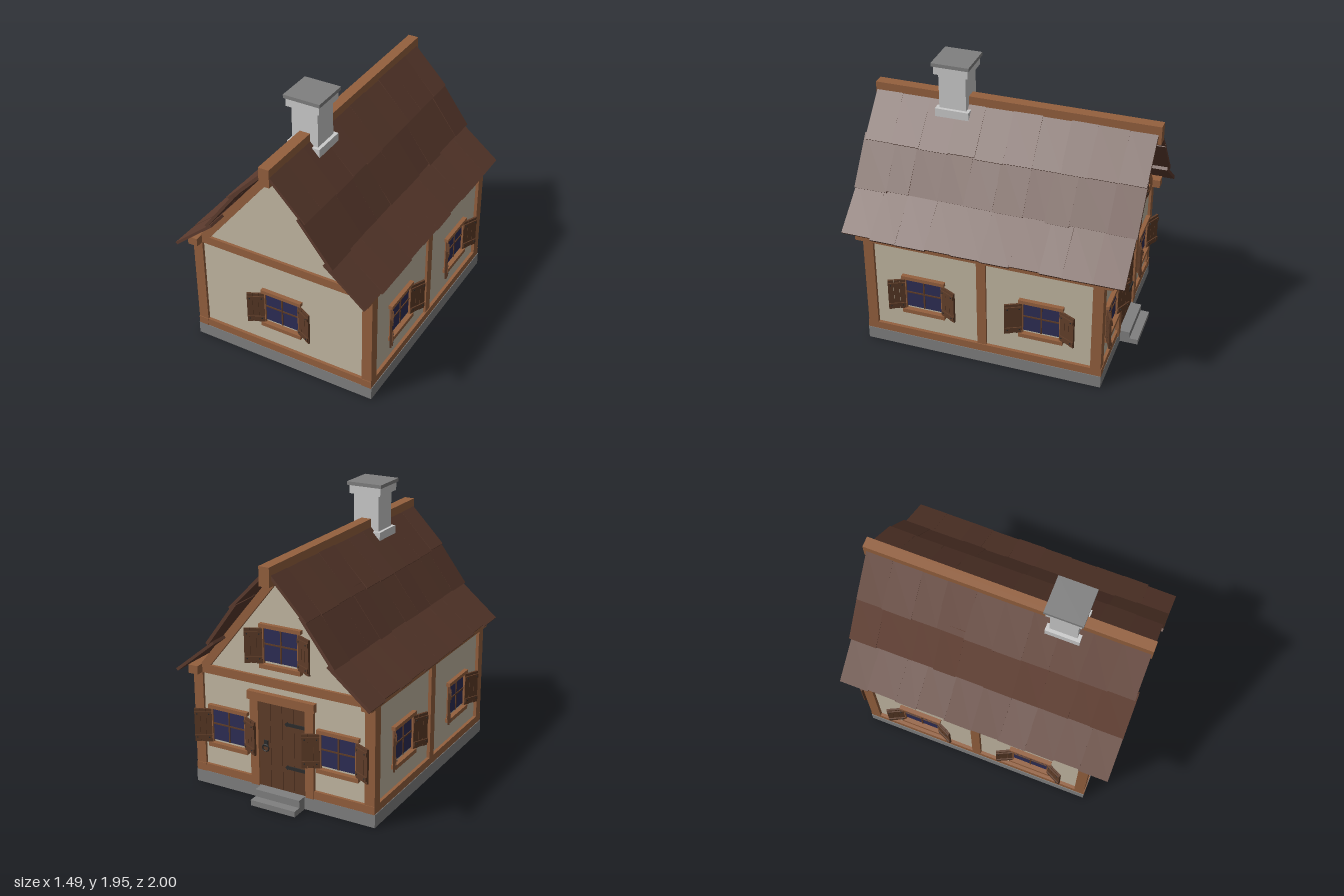
import * as THREE from 'three';

const mat = (color) => new THREE.MeshStandardMaterial({ color });
const M = {
  wall: mat(0xc3b8a3), timber: mat(0x94603e), dark: mat(0x5e3c28), roof: mat(0x5c3b2e),
  glass: mat(0x2d2d55), stone: mat(0xcccccc), slab: mat(0x808080), iron: mat(0x2c2c2c),
};

// small seeded generator, -1..1
let seed = 7;
const jitter = () => {
  seed = (seed * 16807) % 2147483647;
  return (seed / 2147483647) * 2 - 1;
};

function add(parent, name, geometry, material, x = 0, y = 0, z = 0) {
  const mesh = new THREE.Mesh(geometry, material);
  mesh.name = name;
  mesh.position.set(x, y, z);
  parent.add(mesh);
  return mesh;
}

// box given by its lower and upper limits
const span = (parent, name, material, x0, x1, y0, y1, z0, z1) =>
  add(parent, name, new THREE.BoxGeometry(x1 - x0, y1 - y0, z1 - z0), material,
    (x0 + x1) / 2, (y0 + y1) / 2, (z0 + z1) / 2);

function prism(parent, name, material, points, z0, z1) {
  const shape = new THREE.Shape(points.map(([x, y]) => new THREE.Vector2(x, y)));
  return add(parent, name, new THREE.ExtrudeGeometry(shape, { depth: z1 - z0, bevelEnabled: false }),
    material, 0, 0, z0);
}

// shutter hinged at its local x = 0, reaching along +x or -x
function makeShutter(side) {
  const g = new THREE.Group();
  g.name = 'shutter';
  for (let i = 0; i < 3; i++) {
    span(g, 'shutterPlank', M.dark, side * (0.02 + i * 0.04) - 0.0192, side * (0.02 + i * 0.04) + 0.0192,
      -0.12 + (i === 1 ? 0.003 : 0), 0.12, -0.007, 0.007);
  }
  for (const y of [-0.085, 0.085]) {
    span(g, 'shutterBatten', M.dark, side * 0.06 - 0.058, side * 0.06 + 0.058, y - 0.015, y + 0.015, 0, 0.015);
    for (const x of [0.02, 0.1]) {
      const nail = add(g, 'nail', new THREE.CylinderGeometry(0.005, 0.005, 0.006, 6), M.iron, side * x, y, 0.016);
      nail.rotation.x = Math.PI / 2;
    }
  }
  g.position.set(side * 0.135, -0.015, 0.014);
  g.rotation.y = -side * 0.45;
  return g;
}

// window facing local +z, its origin on the wall surface
function addWindow(parent, x, y, z, turn) {
  const g = new THREE.Group();
  g.name = 'window';
  span(g, 'glass', M.glass, -0.13, 0.13, -0.12, 0.12, -0.02, 0.006);
  span(g, 'verticalBar', M.dark, -0.005, 0.005, -0.12, 0.12, 0, 0.012);
  span(g, 'crossBar', M.dark, -0.13, 0.13, -0.005, 0.005, 0, 0.012);
  for (const s of [-1, 1]) {
    span(g, 'jamb', M.timber, s * 0.133 - 0.006, s * 0.133 + 0.006, -0.135, 0.115, -0.01, 0.02);
    g.add(makeShutter(s));
  }
  span(g, 'lintel', M.timber, -0.155, 0.155, 0.112, 0.138, -0.01, 0.03);
  span(g, 'sill', M.timber, -0.155, 0.155, -0.165, -0.135, -0.01, 0.034);
  g.position.set(x, y, z);
  g.rotation.y = turn;
  parent.add(g);
}

// door facing local +z
function makeDoor() {
  const g = new THREE.Group();
  g.name = 'door';
  for (let i = 0; i < 4; i++) {
    const x = -0.135 + i * 0.09;
    span(g, 'doorPlank', M.dark, x - 0.0435, x + 0.0435, 0.09, 0.715, -0.02, 0.012);
  }
  span(g, 'doorBacking', M.iron, -0.18, 0.18, 0.09, 0.715, -0.02, 0.005);
  for (const s of [-1, 1]) {
    span(g, 'doorPost', M.timber, s * 0.21 - 0.032, s * 0.21 + 0.032, 0.09, 0.715, -0.02, 0.026);
  }
  span(g, 'doorLintel', M.timber, -0.255, 0.255, 0.71, 0.77, -0.02, 0.037);
  for (const y of [0.27, 0.58]) {
    span(g, 'hingeStrap', M.iron, 0.04, 0.175, y - 0.011, y + 0.011, 0, 0.02);
    const tip = add(g, 'hingeTip', new THREE.BoxGeometry(0.024, 0.024, 0.02), M.iron, 0.04, y, 0.01);
    tip.rotation.z = Math.PI / 4;
  }
  span(g, 'handlePlate', M.iron, -0.14, -0.11, 0.385, 0.43, 0, 0.02);
  add(g, 'handleRing', new THREE.TorusGeometry(0.024, 0.005, 6, 14), M.iron, -0.125, 0.378, 0.023);
  g.position.z = -0.81;
  g.rotation.y = Math.PI;
  return g;
}

function makeRoof() {
  const roof = new THREE.Group();
  roof.name = 'roof';
  // each course: upper end, lower end, tile edges along z
  const courses = [
    { a: [0.02, 1.635], b: [0.28, 1.365], z: [0.99, 0.8, 0.6, 0.39, 0.2, 0, -0.2, -0.4, -0.58, -0.79, -0.975] },
    { a: [0.235, 1.405], b: [0.467, 1.095], z: [1, 0.77, 0.61, 0.4, 0.21, 0.01, -0.2, -0.36, -0.52, -0.78, -0.975] },
    { a: [0.42, 1.11], b: [0.718, 0.868], z: [1, 0.79, 0.61, 0.4, 0.21, 0.01, -0.19, -0.4, -0.55, -0.76, -0.965] },
  ];
  for (const s of [-1, 1]) {
    for (const { a, b, z } of courses) {
      const dx = b[0] - a[0], dy = b[1] - a[1], length = Math.hypot(dx, dy);
      for (let i = 0; i < z.length - 1; i++) {
        const slide = jitter() * 0.02;
        const tile = add(roof, 'roofTile',
          new THREE.BoxGeometry(length, 0.02 + jitter() * 0.003, z[i] - z[i + 1] + 0.004), M.roof,
          s * ((a[0] + b[0]) / 2 + dx * slide), (a[1] + b[1]) / 2 + dy * slide, (z[i] + z[i + 1]) / 2);
        tile.rotation.set(jitter() * 0.012, jitter() * 0.01, s * (Math.atan2(dy, dx) + jitter() * 0.015));
      }
    }
  }
  span(roof, 'ridgeBeam', M.timber, -0.038, 0.038, 1.56, 1.69, -1, 1);
  return roof;
}

function makeChimney() {
  const g = new THREE.Group();
  g.name = 'chimney';
  const tiers = [
    ['chimneyFoot', M.stone, 0.12, 1.48, 1.605], ['chimneyShaft', M.stone, 0.096, 1.6, 1.865],
    ['chimneyCollar', M.stone, 0.121, 1.86, 1.925], ['chimneyCap', M.slab, 0.133, 1.92, 1.945],
  ];
  for (const [name, m, h, y0, y1] of tiers) span(g, name, m, -h, h, y0, y1, -h, h);
  g.position.z = 0.417;
  return g;
}

export function createModel() {
  const house = new THREE.Group();
  house.name = 'cottage';

  // stone footing and back steps
  span(house, 'footing', M.slab, -0.692, 0.692, 0, 0.092, -0.832, 0.865);
  span(house, 'upperStep', M.slab, -0.17, 0.17, 0, 0.092, -0.9, -0.83);
  span(house, 'lowerStep', M.slab, -0.17, 0.17, 0, 0.04, -0.96, -0.83);

  // plastered walls with gables
  prism(house, 'walls', M.wall, [[-0.665, 0.09], [0.665, 0.09], [0.665, 0.85], [0.59, 0.87],
    [0, 1.6], [-0.59, 0.87], [-0.665, 0.85]], -0.81, 0.84);

  // timber frame: sides
  for (const s of [-1, 1]) {
    const [i, o] = s > 0 ? [0.615, 0.688] : [-0.688, -0.615];
    span(house, 'sideSill', M.timber, i, o, 0.09, 0.148, -0.832, 0.865);
    span(house, 'topPlate', M.timber, i, o, 0.82, 0.88, -0.885, 0.917);
    span(house, 'backPost', M.timber, i, o, 0.1, 0.83, -0.828, -0.755);
    span(house, 'middlePost', M.timber, i, o - s * 0.006 * (s > 0 ? 1 : 0), 0.1, 0.83, -0.015, 0.05);
    span(house, 'frontPost', M.timber, i, o, 0.1, 0.83, 0.788, 0.86);
    for (const z of [0.435, -0.405]) addWindow(house, s * 0.665, 0.46, z, s * Math.PI / 2);
  }

  // timber frame: gable ends
  for (const [z0, z1] of [[0.79, 0.86], [-0.83, -0.76]]) {
    span(house, 'tieBeam', M.timber, -0.685, 0.685, 0.82, 0.88, z0, z1);
    prism(house, 'rafters', M.timber, [[0.55, 0.88], [0.625, 0.88], [0, 1.645],
      [-0.625, 0.88], [-0.55, 0.88], [0, 1.56]], z0, z1);
  }
  span(house, 'frontSill', M.timber, -0.685, 0.685, 0.09, 0.148, 0.79, 0.862);
  for (const s of [-1, 1]) {
    span(house, 'backSill', M.timber, s * 0.44 - 0.245, s * 0.44 + 0.245, 0.09, 0.148, -0.83, -0.76);
  }

  // end windows and door
  addWindow(house, 0, 0.46, 0.84, 0);
  for (const x of [-0.42, 0.42]) addWindow(house, x, 0.46, -0.81, Math.PI);
  addWindow(house, 0, 1.11, -0.81, Math.PI);
  house.add(makeDoor(), makeRoof(), makeChimney());
  return house;
}
